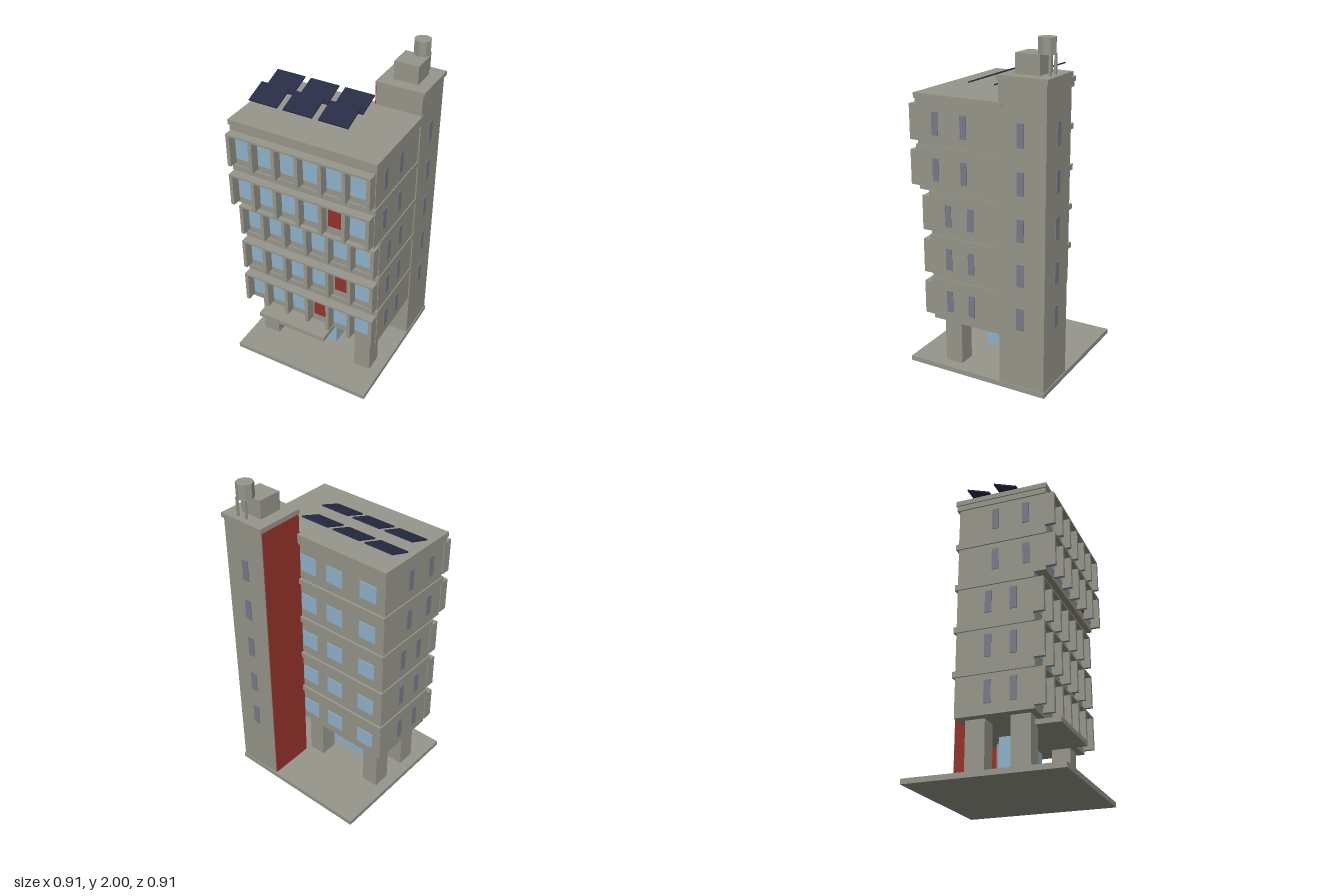
import * as THREE from 'three';

const mat = (name, color) => {
  const m = new THREE.MeshStandardMaterial({ color });
  m.name = name;
  return m;
};

export function createModel() {
  const concrete = mat('concrete', 0x96968b);
  const glass = mat('glass', 0x8fb3cc);
  const red = mat('red', 0x96322b);
  const slate = mat('slate', 0x7a7b88);
  const navy = mat('navy', 0x272c45);

  const model = new THREE.Group();
  model.name = 'building';

  // box given by its limits on each axis
  const box = (name, m, x0, x1, y0, y1, z0, z1, parent = model) => {
    const mesh = new THREE.Mesh(new THREE.BoxGeometry(x1 - x0, y1 - y0, z1 - z0), m);
    mesh.position.set((x0 + x1) / 2, (y0 + y1) / 2, (z0 + z1) / 2);
    mesh.name = name;
    parent.add(mesh);
    return mesh;
  };

  const LEFT = -0.441, RIGHT = 0.436, BACK = -0.165;
  const PITCH = 0.262, FIRST = 0.325, BAY = 0.1428;

  // ground plate, columns, lobby and canopy
  box('groundPlate', concrete, -0.456, 0.449, 0, 0.03, -0.452, 0.452);
  for (const [x, z] of [[-0.336, 0.188], [0.325, 0.188], [-0.336, -0.067], [0.102, -0.067]])
    box('column', concrete, x - 0.053, x + 0.053, 0.03, FIRST, z - 0.056, z + 0.056);
  box('lobby', glass, -0.283, 0.085, 0.03, 0.25, 0.025, 0.135);
  box('entranceDoor', red, -0.145, -0.052, 0.03, 0.21, 0.134, 0.139);
  box('canopy', concrete, -0.325, 0.135, 0.28, 0.308, 0.137, 0.388);

  // five floors, the upper two stepping forward
  const redBay = { 0: 3, 1: 4, 3: 4 };
  for (let i = 0; i < 5; i++) {
    const floor = new THREE.Group();
    floor.name = 'floor' + (i + 1);
    model.add(floor);
    const y = FIRST + i * PITCH;
    const upper = i > 2;
    const front = upper ? 0.357 : 0.282;
    const finFront = upper ? 0.415 : 0.345;
    box('floorBody', concrete, LEFT, RIGHT, y, y + 0.227, BACK, front, floor);
    box('floorSlab', concrete, LEFT - 0.008, RIGHT + 0.006, y + 0.227, y + PITCH,
      BACK - 0.015, front + 0.01, floor);

    // front fins, top ledge and bay panels
    for (let k = 0; k < 7; k++) {
      const x = -0.436 + k * BAY;
      box('fin', concrete, x - 0.011, x + 0.011, y + 0.019, y + 0.222, front, finFront, floor);
    }
    box('ledge', concrete, -0.447, 0.432, y + 0.211, y + 0.223, front, finFront, floor);
    for (let k = 0; k < 6; k++) {
      const x = -0.436 + (k + 0.5) * BAY;
      if (redBay[i] === k)
        box('redPanel', red, x - 0.049, x + 0.049, y + 0.055, y + 0.195, front, front + 0.006, floor);
      else
        box('frontWindow', glass, x - 0.058, x + 0.058, y + 0.045, y + 0.204, front, front + 0.006, floor);
    }

    // narrow windows on both sides
    for (const z of upper ? [0.243, 0.06] : [0.169, 0.022])
      for (const x of [LEFT, RIGHT])
        box('sideWindow', slate, x - 0.004, x + 0.004, y + 0.061, y + 0.192, z - 0.02, z + 0.02, floor);

    // back windows
    for (const x of [0.096, -0.092, -0.327])
      box('backWindow', glass, x - 0.057, x + 0.057, y + 0.058, y + 0.163, BACK - 0.005, BACK + 0.003, floor);

    // stair tower slits
    box('towerSideWindow', slate, 0.44, 0.449, y + 0.061, y + 0.192, -0.317, -0.275, floor);
    box('towerBackWindow', slate, 0.282, 0.326, y + 0.061, y + 0.192, -0.451, -0.442, floor);
  }

  // roof
  box('roofSlab', concrete, -0.456, 0.448, 1.633, 1.663, -0.185, 0.373);

  // stair tower with red side wall
  box('stairTower', concrete, 0.166, 0.443, 0.03, 1.78, -0.446, -0.162);
  box('towerRedWall', red, 0.16, 0.167, 0.035, 1.775, -0.442, -0.165);
  box('towerCap', concrete, 0.161, 0.453, 1.78, 1.806, -0.456, -0.158);
  box('machineRoom', concrete, 0.235, 0.381, 1.806, 1.915, -0.373, -0.228);

  // water tank on four legs
  const tank = new THREE.Mesh(new THREE.CylinderGeometry(0.05, 0.05, 0.088, 8).toNonIndexed(), concrete);
  tank.geometry.computeVertexNormals();
  tank.position.set(0.328, 1.956, -0.385);
  tank.name = 'waterTank';
  model.add(tank);
  for (const sx of [-1, 1])
    for (const sz of [-1, 1]) {
      const x = 0.328 + sx * 0.031, z = -0.385 + sz * 0.034;
      box('tankLeg', concrete, x - 0.006, x + 0.006, 1.806, 1.914, z - 0.006, z + 0.006);
    }

  // two rows of tilted solar panels
  for (const z of [0.115, -0.052])
    for (const x of [-0.351, -0.132, 0.088]) {
      const panel = box('solarPanel', navy, x - 0.091, x + 0.091, 1.712, 1.72, z - 0.073, z + 0.073);
      panel.rotation.x = 0.34;
    }

  return model;
}
